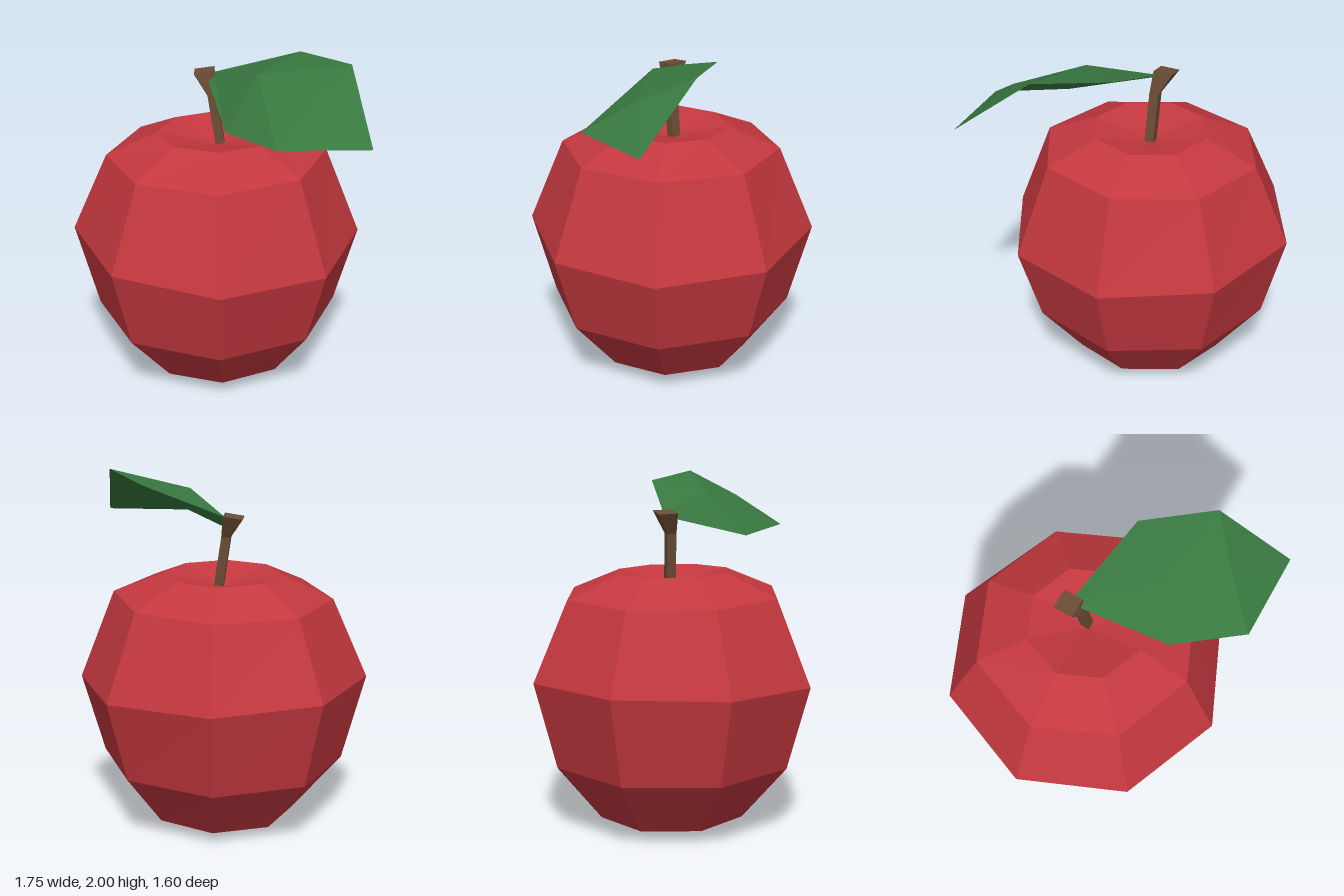
import * as THREE from 'three';

const V = (x, y, z) => new THREE.Vector3(x, y, z);

// Unindexed triangles, so every facet keeps its own flat normal
function facets(tris) {
  const g = new THREE.BufferGeometry().setFromPoints(tris.flat());
  g.computeVertexNormals();
  return g;
}

// Rings listed from bottom to top, closed by a point at each end
function loft(rings, bottom, top) {
  const tris = [];
  const n = rings[0].length;
  for (let j = 0; j < n; j++) {
    const k = (j + 1) % n;
    tris.push([bottom, rings[0][j], rings[0][k]]);
    for (let i = 0; i + 1 < rings.length; i++) {
      const a = rings[i], b = rings[i + 1];
      tris.push([a[j], b[j], a[k]], [a[k], b[j], b[k]]);
    }
    const last = rings[rings.length - 1];
    tris.push([last[j], top, last[k]]);
  }
  return facets(tris);
}

// A ring of n points round (cx, cz), tilted by slopes sx and sz
function ring(n, startDeg, r, cx, y, cz, sx = 0, sz = 0) {
  return Array.from({ length: n }, (_, i) => {
    const a = THREE.MathUtils.degToRad(startDeg) + (i / n) * Math.PI * 2;
    const dx = r * Math.cos(a), dz = r * Math.sin(a);
    return V(cx + dx, y + sx * dx + sz * dz, cz + dz);
  });
}

export function createModel() {
  const mat = (name, color) => {
    const m = new THREE.MeshStandardMaterial({ color });
    m.name = name;
    return m;
  };
  const red = mat('appleRed', 0xc4383f);
  const brown = mat('stemBrown', 0x6b4d35);
  const green = mat('leafGreen', 0x387840);
  red.flatShading = brown.flatShading = green.flatShading = true;
  green.side = THREE.DoubleSide;

  const group = new THREE.Group();
  group.name = 'apple';
  const add = (name, geometry, material) => {
    const mesh = new THREE.Mesh(geometry, material);
    mesh.name = name;
    group.add(mesh);
  };

  // Fruit: eight-sided body with a dimple at the top
  const body = [
    // radius, centre x, y, slope x, slope z
    [0.435, -0.058, 0.078, 0.035, 0.015],
    [0.695, -0.08, 0.395, 0.004, 0],
    [0.826, -0.08, 0.868, -0.03, -0.018],
    [0.626, -0.08, 1.35, 0.02, 0.012],
    [0.332, -0.08, 1.476, 0, 0.015],
  ].map(([r, cx, y, sx, sz]) => ring(8, -14.7, r, cx, y, 0, sx, sz));
  add('fruit', loft(body, V(-0.12, 0, 0), V(-0.08, 1.4, 0)), red);

  // Stem: square rod that leans and flares at its tilted top
  const stem = [
    ring(4, 33, 0.037, -0.055, 1.37, -0.012),
    ring(4, 33, 0.037, -0.105, 1.69, -0.014),
    ring(4, 33, 0.078, -0.16, 1.815, -0.05, 0.15, 0),
  ];
  add('stem', loft(stem, V(-0.055, 1.37, -0.012), V(-0.16, 1.815, -0.05)), brown);

  // Leaf: two faceted halves folded along a midrib
  const right = [V(-0.1, 1.81, -0.055), V(0.38, 1.96, -0.065), V(0.7, 2, 0.21)];
  const rib = [V(-0.105, 1.805, -0.04), V(0.2, 1.91, 0.23), V(0.53, 1.86, 0.47)];
  const left = [V(-0.125, 1.775, 0), V(0.08, 1.655, 0.45), V(0.4, 1.69, 0.72)];
  const tip = V(0.875, 1.69, 0.6);
  const tris = [];
  for (let i = 0; i < 2; i++) {
    tris.push([rib[i], rib[i + 1], right[i + 1]], [rib[i], right[i + 1], right[i]]);
    tris.push([rib[i], left[i + 1], rib[i + 1]], [rib[i], left[i], left[i + 1]]);
  }
  tris.push([rib[2], tip, right[2]], [rib[2], left[2], tip]);
  add('leaf', facets(tris), green);

  return group;
}
